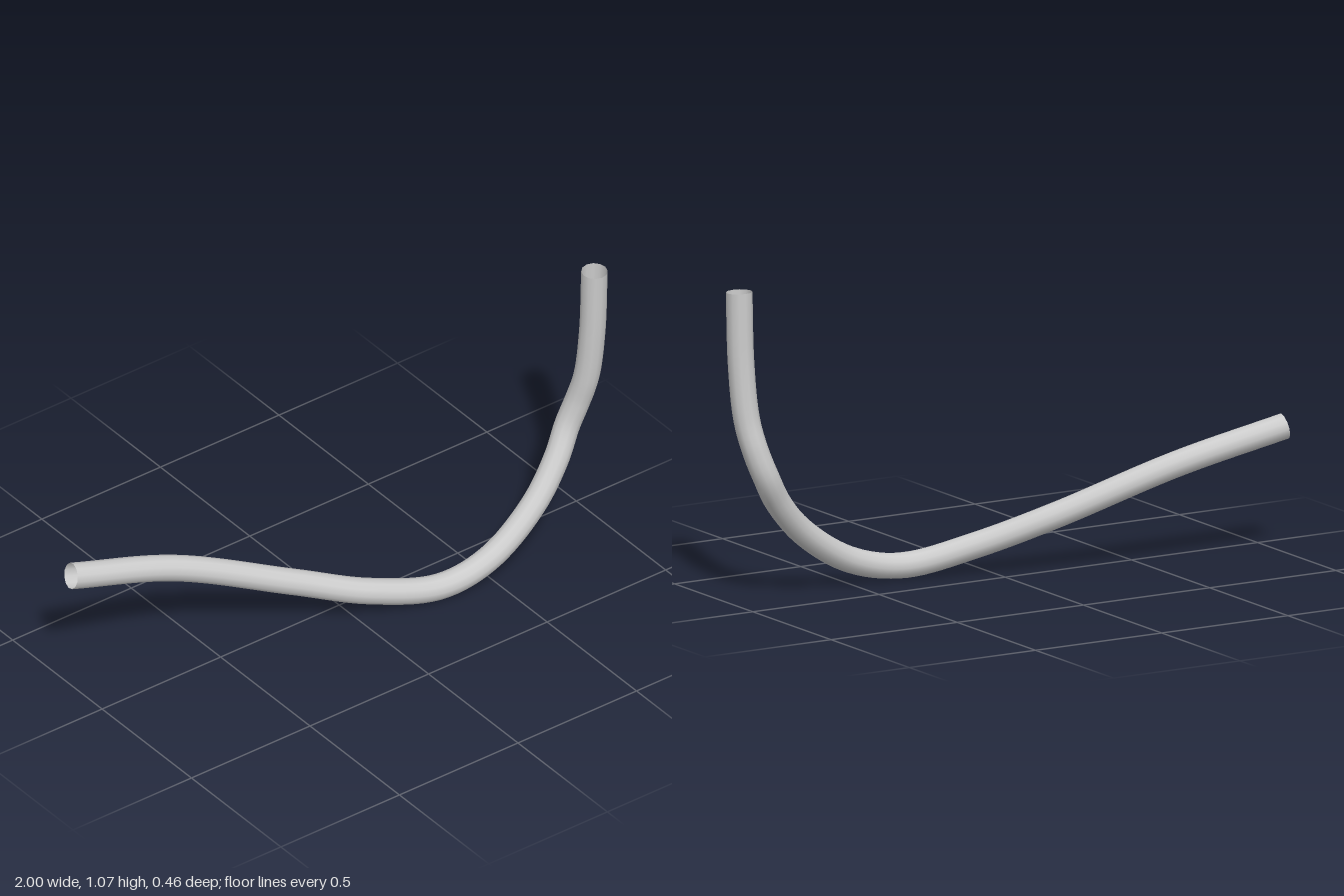
import * as THREE from 'three';

export function createModel() {
  const group = new THREE.Group();
  group.name = 'bentPipe';

  // Centre line, from the low right end to the upright left end
  const path = new THREE.CatmullRomCurve3([
    [-0.99, 0.443, -0.187],
    [-0.6, 0.345, -0.122],
    [-0.2, 0.19, 0.008],
    [0.05, 0.1, 0.106],
    [0.3, 0.048, 0.168],
    [0.5, 0.088, 0.18],
    [0.7, 0.21, 0.159],
    [0.82, 0.333, 0.128],
    [0.88, 0.43, 0.107],
    [0.915, 0.52, 0.117],
    [0.937, 0.63, 0.14],
    [0.949, 0.82, 0.157],
    [0.952, 1.07, 0.165],
  ].map((p) => new THREE.Vector3(...p)));

  // Hollow pipe, open at both ends
  const pipe = new THREE.Mesh(
    new THREE.TubeGeometry(path, 96, 0.045, 12, false),
    new THREE.MeshStandardMaterial({ color: 0xcccccc, side: THREE.DoubleSide }),
  );
  pipe.name = 'pipe';
  group.add(pipe);
  return group;
}
